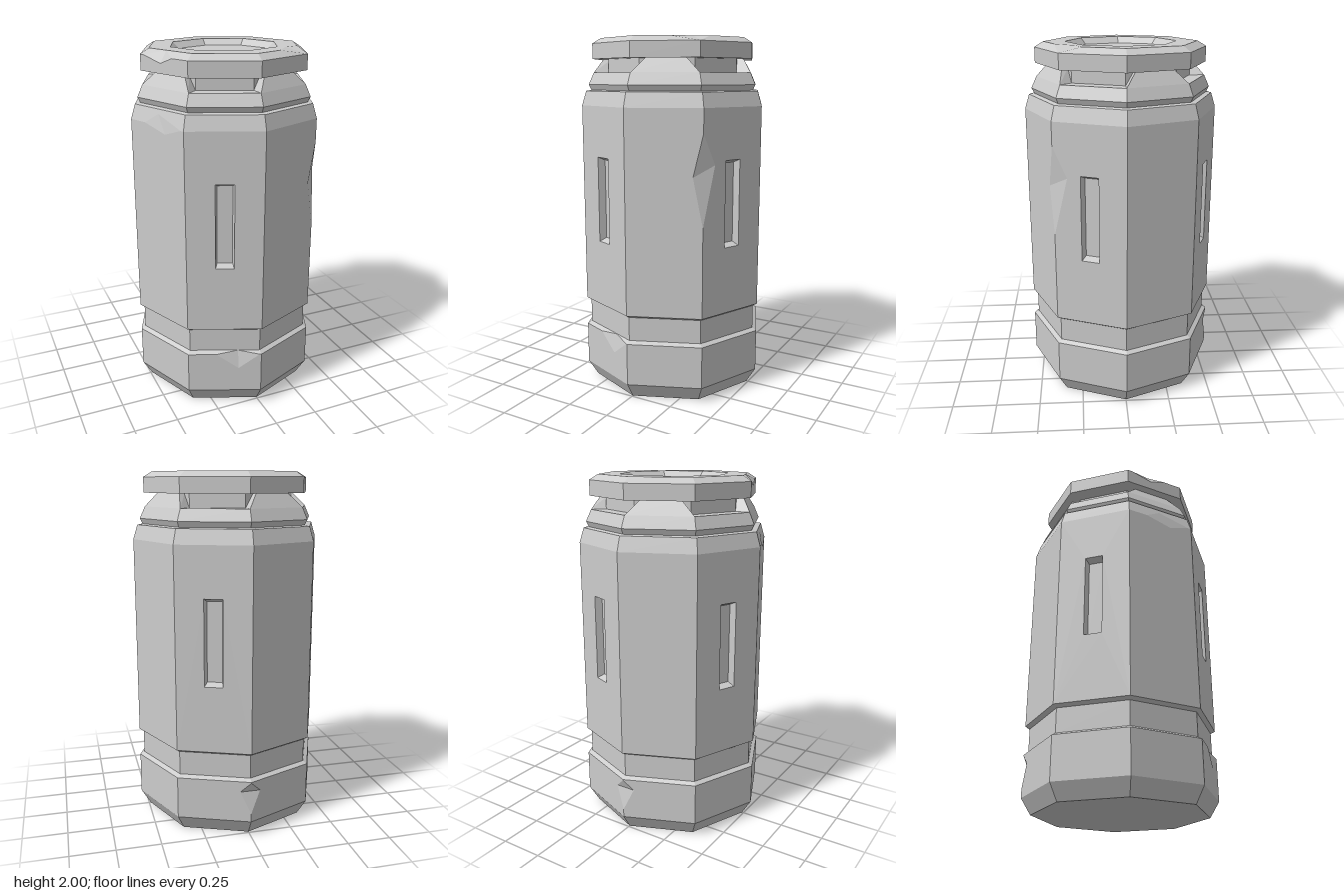
import * as THREE from 'three';

// Eight-sided profile, [corner radius, height], from the underside up and over the lid
const LEVELS = [
  [0, 0], [0.49, 0], [0.545, 0.09], [0.545, 0.33], [0.52, 0.345], [0.52, 0.48], [0.545, 0.495],
  [0.545, 1.63], [0.52, 1.71], [0.49, 1.715], [0.505, 1.745], [0.475, 1.81], [0.39, 1.81],
  [0.39, 1.885], [0.48, 1.885], [0.48, 1.97], [0.43, 2], [0.31, 2], [0.275, 1.965], [0, 1.965],
];
const WALL = 6, BEVEL = 15, LID_TOP = 16;

// Each part covers a run of bands; band i lies between levels i and i + 1
const PARTS = {
  base: [0, 3], waistGroove: [4, 5], wall: [6, 6], shoulder: [7, 8],
  collar: [9, 11], neck: [12, 12], lid: [13, 18],
};

// Chips across a horizontal rim: lower band, side, and [u, v] corners
const RIM_CHIPS = [
  { part: 'base', band: 2, side: 7, left: 0.38, bottom: [0.69, 0.62], right: 0.98, apex: [0.69, 0.97] },
  { part: 'wall', band: 6, side: 6, left: 0.28, bottom: [0.66, 0.965], right: 0.95, apex: [0.5, 0.7] },
  { part: 'lid', band: 14, side: 6, left: 0.08, bottom: [0.44, 0.62], right: 0.68, apex: [0.43, 0.97] },
];
// Chips across a vertical corner: a lies on the side before it, b on the side after
const CORNER_CHIPS = [
  { part: 'wall', band: 6, corner: 1, low: 0.445, high: 0.885, a: [0.87, 0.683], b: [0.195, 0.736] },
  { part: 'base', band: 2, corner: 4, low: 0.2, high: 0.98, a: [0.85, 0.74], b: [0.15, 0.74] },
];

// Point on side k: u runs left to right along the side
function sidePoint(k, u, r, y) {
  const corner = (i) => new THREE.Vector3(Math.sin(i * Math.PI / 4) * r, y, Math.cos(i * Math.PI / 4) * r);
  return corner(k).lerp(corner(k + 1), u);
}

// Point on one band of side k, v runs from its lower level to its upper level
function bandPoint(band, k, [u, v], depth = 0) {
  const [r0, y0] = LEVELS[band], [r1, y1] = LEVELS[band + 1];
  const p = sidePoint(k, u, r0 + (r1 - r0) * v, y0 + (y1 - y0) * v);
  const a = (k + 0.5) * Math.PI / 4;
  return p.add(new THREE.Vector3(-Math.sin(a) * depth, 0, -Math.cos(a) * depth));
}

const quad = (out, a, b, c, d) => out.push(a, b, c, a, c, d);

// Flat panel from an outline in [u, v], with an optional hole
function panel(out, band, k, outline, hole) {
  const toV2 = (list) => list.map((p) => new THREE.Vector2(...p));
  const holes = hole ? [toV2(hole).reverse()] : [];
  const contour = toV2(outline);
  const points = [...contour, ...holes.flat()];
  for (const face of THREE.ShapeUtils.triangulateShape(contour, holes)) {
    const [a, b, c] = face.map((i) => points[i]);
    const ccw = (b.x - a.x) * (c.y - a.y) - (b.y - a.y) * (c.x - a.x) > 0;
    for (const p of ccw ? [a, b, c] : [a, c, b]) out.push(bandPoint(band, k, [p.x, p.y]));
  }
}

// Outlines of the panels that a chip bites into
function chippedOutlines() {
  const map = {};
  const set = (band, k, list) => { map[`${band},${k % 8}`] = list; };
  for (const c of RIM_CHIPS) {
    set(c.band, c.side, [[0, 0], [1, 0], [1, 1], [c.right, 1], c.bottom, [c.left, 1], [0, 1]]);
    set(c.band + 1, c.side, [[0, 0], [c.left, 0], c.apex, [c.right, 0], [1, 0], [1, 1], [0, 1]]);
  }
  for (const c of CORNER_CHIPS) {
    set(c.band, c.corner - 1, [[0, 0], [1, 0], [1, c.low], c.a, [1, c.high], [1, 1], [0, 1]]);
    set(c.band, c.corner, [[0, 0], [1, 0], [1, 1], [0, 1], [0, c.high], c.b, [0, c.low]]);
  }
  // Knocked-off lid corner
  set(BEVEL, 0, [[0, 0], [1, 0], [0.53, 1], [0, 1]]);
  set(LID_TOP, 0, [[0, 0], [0.53, 0], [1, 0.63], [1, 1], [0, 1]]);
  set(BEVEL, 1, [[0, 0], [1, 0], [1, 1], [0.276, 1]]);
  set(LID_TOP, 1, [[0.276, 0], [1, 0], [1, 1], [0, 1], [0, 0.63]]);
  return map;
}

// Broken surfaces inside the chips of one part
function fillChips(out, part) {
  for (const c of RIM_CHIPS.filter((chip) => chip.part === part)) {
    const left = bandPoint(c.band, c.side, [c.left, 1]), right = bandPoint(c.band, c.side, [c.right, 1]);
    const bottom = bandPoint(c.band, c.side, c.bottom), apex = bandPoint(c.band + 1, c.side, c.apex);
    out.push(left, bottom, apex, bottom, right, apex);
  }
  for (const c of CORNER_CHIPS.filter((chip) => chip.part === part)) {
    const low = bandPoint(c.band, c.corner, [0, c.low]), high = bandPoint(c.band, c.corner, [0, c.high]);
    const a = bandPoint(c.band, c.corner - 1, c.a), b = bandPoint(c.band, c.corner, c.b);
    out.push(a, b, high, a, low, b);
  }
  if (part === 'lid') {
    const a = bandPoint(BEVEL, 0, [0.53, 1]), corner = bandPoint(BEVEL, 0, [1, 0]);
    const b = bandPoint(BEVEL, 1, [0.276, 1]), inner = bandPoint(LID_TOP, 0, [1, 0.63]);
    out.push(a, corner, inner, corner, b, inner);
  }
}

function createMesh(name, points) {
  const geometry = new THREE.BufferGeometry().setFromPoints(points);
  geometry.computeVertexNormals();
  const mesh = new THREE.Mesh(geometry, new THREE.MeshStandardMaterial({ color: 0xcccccc, flatShading: true }));
  mesh.name = name;
  return mesh;
}

export function createModel() {
  const model = new THREE.Group();
  model.name = 'canister';
  const outlines = chippedOutlines();
  const square = [[0, 0], [1, 0], [1, 1], [0, 1]];
  const slot = [[0.377, 0.33], [0.623, 0.33], [0.623, 0.753], [0.377, 0.753]];
  const slotFloor = [[0.4, 0.346], [0.6, 0.346], [0.6, 0.737], [0.4, 0.737]];

  // Octagonal shell, part by part
  for (const [name, [first, last]] of Object.entries(PARTS)) {
    const points = [];
    for (let band = first; band <= last; band++) {
      for (let k = 0; k < 8; k++) {
        const hole = band === WALL && k % 2 ? slot : null;
        panel(points, band, k, outlines[`${band},${k}`] || square, hole);
      }
    }
    fillChips(points, name);
    model.add(createMesh(name, points));
  }

  // Sunken slots on every other side
  for (let k = 1; k < 8; k += 2) {
    const points = [];
    const rim = slot.map((p) => bandPoint(WALL, k, p));
    const floor = slotFloor.map((p) => bandPoint(WALL, k, p, 0.04));
    for (let i = 0; i < 4; i++) {
      const j = (i + 1) % 4;
      quad(points, rim[i], rim[j], floor[j], floor[i]);
    }
    quad(points, ...floor);
    model.add(createMesh('slot', points));
  }

  // Sloping collar blocks between the openings under the lid
  for (let k = 0; k < 8; k += 2) {
    const points = [];
    const ring = (rLow, rHigh) => [
      sidePoint(k, 0, rLow, 1.81), sidePoint(k, 1, rLow, 1.81),
      sidePoint(k, 0.835, rHigh, 1.885), sidePoint(k, 0.165, rHigh, 1.885),
    ];
    const outer = ring(0.475, 0.43), inner = ring(0.385, 0.385);
    quad(points, ...outer);
    quad(points, outer[1], inner[1], inner[2], outer[2]);
    quad(points, inner[0], outer[0], outer[3], inner[3]);
    model.add(createMesh('collarBlock', points));
  }
  return model;
}
